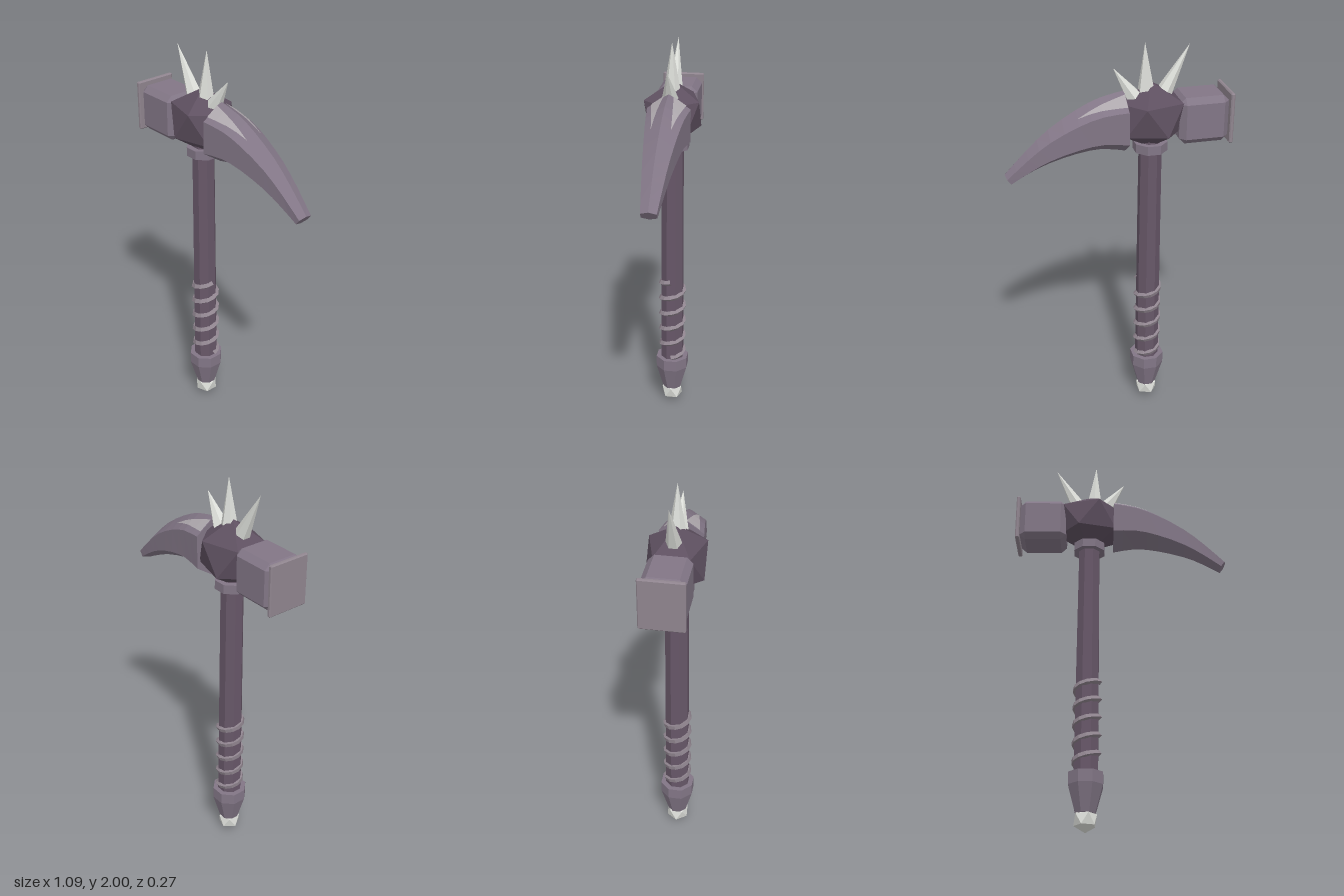
import * as THREE from 'three';
import { ConvexGeometry } from 'three/addons/geometries/ConvexGeometry.js';

const flat = (name, color, side = THREE.FrontSide) =>
  new THREE.MeshStandardMaterial({ name, color, side, flatShading: true });

// Box with every edge cut off at 45 degrees
function chamferedBox(w, h, d, c) {
  const [a, b, e] = [w / 2, h / 2, d / 2];
  const pts = [];
  for (const x of [-1, 1]) for (const y of [-1, 1]) for (const z of [-1, 1]) {
    pts.push(
      new THREE.Vector3(x * a, y * (b - c), z * (e - c)),
      new THREE.Vector3(x * (a - c), y * b, z * (e - c)),
      new THREE.Vector3(x * (a - c), y * (b - c), z * e));
  }
  return new ConvexGeometry(pts);
}

// Triangles from a list of points, one normal per face
function facets(points) {
  const g = new THREE.BufferGeometry().setFromPoints(points);
  g.computeVertexNormals();
  return g;
}

// Icosahedron standing on one corner
function cornerIcosahedron(rx, ry, rz) {
  return new THREE.IcosahedronGeometry(1, 0)
    .rotateZ(-Math.atan2(1, (1 + Math.sqrt(5)) / 2)).scale(rx, ry, rz);
}

// Upper and lower ridge lines of the blade, base to tip
const ridge = points => new THREE.SplineCurve(points.map(p => new THREE.Vector2(...p)));
const TOP = ridge([[-0.034, 1.778], [0.085, 1.752], [0.196, 1.702], [0.328, 1.618], [0.434, 1.523], [0.542, 1.41]]);
const BOTTOM = ridge([[-0.04, 1.474], [0.074, 1.494], [0.196, 1.481], [0.328, 1.446], [0.423, 1.406], [0.508, 1.363]]);

// Six-sided section with ridges above and below
function bladeSection(t) {
  const p = TOP.getPoint(t), q = BOTTOM.getPoint(t);
  const top = new THREE.Vector3(p.x, p.y, 0), bottom = new THREE.Vector3(q.x, q.y, 0);
  const w = THREE.MathUtils.mapLinear(p.x, -0.034, 0.542, 0.105, 0.037);
  const at = (f, z) => top.clone().lerp(bottom, f).setZ(z);
  return [top, at(0.24, w), at(0.77, w), bottom, at(0.77, -w), at(0.24, -w)];
}

function bladeGeometry() {
  const rings = Array.from({ length: 11 }, (_, i) => bladeSection(i / 10));
  const pts = [];
  for (let i = 0; i < rings.length - 1; i++) {
    for (let k = 0; k < 6; k++) {
      const n = (k + 1) % 6;
      const [a, b, c, d] = [rings[i][k], rings[i][n], rings[i + 1][n], rings[i + 1][k]];
      pts.push(a, b, c, a, c, d);
    }
  }
  const first = rings[0], last = rings[rings.length - 1];
  for (let k = 1; k < 5; k++) {
    pts.push(first[0], first[k + 1], first[k], last[0], last[k], last[k + 1]);
  }
  return facets(pts);
}

// Pale streak lying just above one upper face of the blade
function streakGeometry(side) {
  const spans = [[0.2, 0.78], [0.28, 0.75], [0.38, 0.7], [0.47, 0.64], [0.57, 0.57]];
  const rows = spans.map((span, i) => {
    const ring = bladeSection(i / 10);
    const edge = side > 0 ? ring[1] : ring[5];
    return span.map(f => ring[0].clone().lerp(edge, f).add(new THREE.Vector3(0.001, 0.003, side * 0.002)));
  });
  const pts = [];
  for (let i = 0; i < rows.length - 1; i++) {
    const [a, b] = rows[i], [c, d] = rows[i + 1];
    pts.push(a, b, d);
    if (i < rows.length - 2) pts.push(a, d, c);
  }
  return facets(pts);
}

export function createModel() {
  const group = new THREE.Group();
  const shaftMat = flat('dark plum', 0x675768);
  const coreMat = flat('deep plum', 0x5e5060);
  const headMat = flat('grey plum', 0x827686);
  const trimMat = flat('light grey plum', 0x90858f);
  const spikeMat = flat('pale steel', 0xdcded9);
  const streakMat = flat('worn edge', 0xaea8ad, THREE.DoubleSide);
  const AXIS = -0.164;

  const add = (name, geometry, material, x = 0, y = 0, z = 0) => {
    const mesh = new THREE.Mesh(geometry, material);
    mesh.name = name;
    mesh.position.set(x, y, z);
    group.add(mesh);
    return mesh;
  };
  const octagon = (rTop, rBottom, h) =>
    new THREE.CylinderGeometry(rTop, rBottom, h, 8).rotateY(Math.PI / 8);

  // Handle
  add('shaft', octagon(0.056, 0.062, 1.27), shaftMat, AXIS, 0.895);
  add('collar', octagon(0.084, 0.084, 0.045), headMat, AXIS, 1.492);
  add('pommelBand', octagon(0.088, 0.088, 0.06), headMat, AXIS, 0.252);
  add('pommelTaper', octagon(0.088, 0.05, 0.134), headMat, AXIS, 0.155);
  add('pommelStud', cornerIcosahedron(0.061, 0.06, 0.061), spikeMat, AXIS, 0.06);

  // Cord wound round the grip
  const turns = 5, steps = 60;
  const helix = Array.from({ length: steps + 1 }, (_, i) => {
    const a = (i / steps) * turns * Math.PI * 2 + Math.PI / 2;
    return new THREE.Vector3(0.059 * Math.sin(a), 0.29 + 0.455 * i / steps, 0.059 * Math.cos(a));
  });
  add('gripCord', new THREE.TubeGeometry(new THREE.CatmullRomCurve3(helix), steps, 0.015, 4),
    trimMat, AXIS);

  // Head core and hammer
  add('headCore', cornerIcosahedron(0.19, 0.163, 0.158), coreMat, AXIS, 1.646);
  add('hammerBlock', chamferedBox(0.24, 0.228, 0.2, 0.028), headMat, -0.405, 1.627);
  add('hammerFace', chamferedBox(0.02, 0.248, 0.21, 0.005), trimMat, -0.535, 1.63);

  // Curved blade
  add('blade', bladeGeometry(), headMat);
  add('leftStreak', streakGeometry(1), streakMat);
  add('rightStreak', streakGeometry(-1), streakMat);

  // Spikes: base x, base y, tip x, tip y
  const spikes = [
    [-0.214, 1.73, -0.346, 1.979],
    [-0.14, 1.755, -0.132, 2.0],
    [-0.086, 1.735, 0.018, 1.889],
  ];
  for (const [bx, by, tx, ty] of spikes) {
    const base = new THREE.Vector3(bx, by, 0), tip = new THREE.Vector3(tx, ty, 0);
    const length = base.distanceTo(tip);
    const spike = add('spike', new THREE.ConeGeometry(0.043, length, 6).translate(0, length / 2, 0),
      spikeMat, bx, by);
    spike.quaternion.setFromUnitVectors(new THREE.Vector3(0, 1, 0), tip.sub(base).normalize());
  }
  return group;
}
